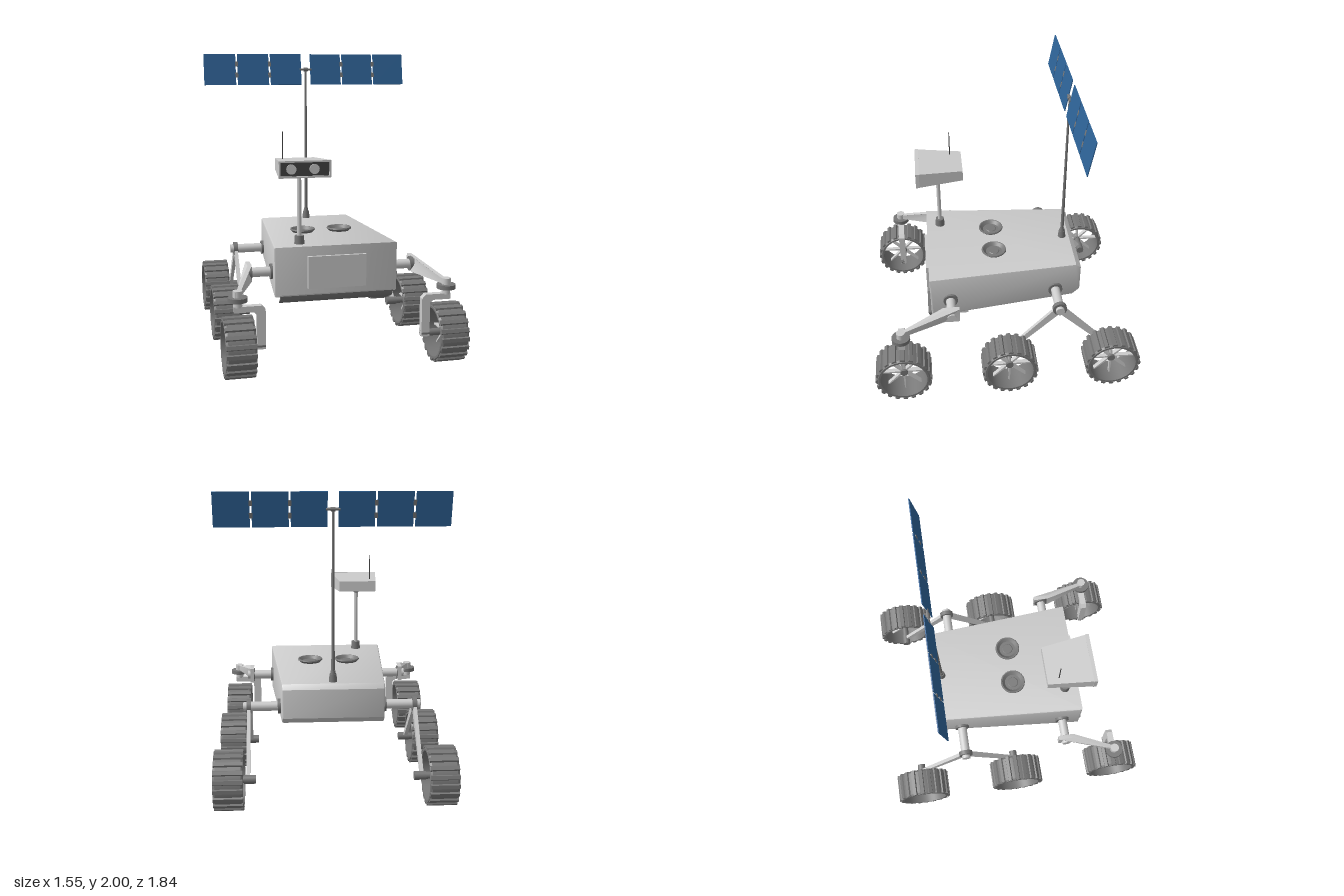
import * as THREE from 'three';
import { toCreasedNormals } from 'three/addons/utils/BufferGeometryUtils.js';

const paint = (color) => new THREE.MeshStandardMaterial({ color });
const GREY = paint(0xcccccc);
const DARK = paint(0x777777);
const BLACK = paint(0x444444);
const BLUE = paint(0x2f6499);

function add(parent, name, geometry, material = GREY, x = 0, y = 0, z = 0) {
  const mesh = new THREE.Mesh(geometry, material);
  mesh.name = name;
  mesh.position.set(x, y, z);
  parent.add(mesh);
  return mesh;
}

const box = (w, h, d) => new THREE.BoxGeometry(w, h, d);
const rod = (r, h, top = r, n = 24) => new THREE.CylinderGeometry(top, r, h, n);
const rodX = (r, length) => rod(r, length).rotateZ(Math.PI / 2);
const shapeOf = (points) => new THREE.Shape(points.map(([a, b]) => new THREE.Vector2(a, b)));

// Plate with a (z, y) outline and its thickness centred on x = 0
function plateX(points, width, bevel = 0) {
  const depth = width - 2 * bevel;
  return new THREE.ExtrudeGeometry(shapeOf(points), {
    depth, bevelEnabled: bevel > 0, bevelSize: bevel, bevelThickness: bevel, bevelOffset: -bevel, bevelSegments: 2,
  }).translate(0, 0, -depth / 2).rotateY(-Math.PI / 2);
}

// Move every vertex by a rule, then rebuild normals with sharp edges
function reshape(geometry, rule) {
  const p = geometry.attributes.position;
  const v = new THREE.Vector3();
  for (let i = 0; i < p.count; i++) {
    v.fromBufferAttribute(p, i);
    rule(v);
    p.setXYZ(i, v.x, v.y, v.z);
  }
  return toCreasedNormals(geometry, 0.5);
}

function makeBody(model) {
  const profile = [[0.51, 0.43], [0.515, 0.76], [-0.515, 0.76], [-0.55, 0.73], [-0.55, 0.535], [-0.5, 0.49]];
  const hull = reshape(plateX(profile, 0.83, 0.012), (v) => {
    v.x *= 1 - 0.19 * (0.515 - v.z) / 1.065;
  });
  add(model, 'body', hull);
  add(model, 'frontHatch', box(0.39, 0.215, 0.04), GREY, 0, 0.5875, 0.515);

  // Curved lip and wedge under the nose
  const lip = [[0.51, 0.44], [0.535, 0.44], [0.525, 0.415], [0.505, 0.395], [0.47, 0.38],
    [0.468, 0.388], [0.498, 0.405], [0.512, 0.42], [0.51, 0.43]];
  add(model, 'noseLip', toCreasedNormals(plateX(lip, 0.76), 0.6), DARK);
  add(model, 'bellyWedge', plateX([[0.47, 0.44], [0.47, 0.4], [0.25, 0.4], [0.31, 0.45]], 0.72));

  // Two shallow dishes on the deck
  const dish = [[0.07, 0], [0.088, 0.018], [0.085, 0.026], [0.078, 0.026], [0.058, 0.006], [0.038, 0.006], [0.034, 0.01], [0, 0.01]];
  for (const x of [-0.132, 0.132]) {
    const lathe = new THREE.LatheGeometry(dish.map(([r, y]) => new THREE.Vector2(r, y)), 32);
    add(model, 'deckDish', toCreasedNormals(lathe, 0.5), DARK, x, 0.758, 0.045);
  }
}

function makeCamera(model) {
  const camera = new THREE.Group();
  camera.name = 'cameraMast';
  camera.position.set(-0.23, 0, 0.415);
  model.add(camera);
  add(camera, 'mastBase', rod(0.034, 0.055, 0.03), DARK, 0, 0.7875);
  add(camera, 'mastPole', rod(0.014, 0.42), GREY, 0, 1.0);
  add(camera, 'mastJoint', new THREE.SphereGeometry(0.03, 24, 12), DARK, 0, 1.222);

  // Head widens and deepens toward the lenses
  const head = reshape(box(1, 1, 0.305), (v) => {
    const front = v.z > 0;
    v.x = v.x * (front ? 0.335 : 0.265) + (front ? 0.01 : 0.005);
    v.y *= front ? 0.108 : 0.075;
  });
  add(camera, 'cameraHead', head, GREY, 0, 1.27, -0.0225);
  const frame = shapeOf([[-0.17, -0.055], [0.17, -0.055], [0.17, 0.055], [-0.17, 0.055]]);
  frame.holes.push(shapeOf([[-0.158, -0.044], [0.158, -0.044], [0.158, 0.044], [-0.158, 0.044]]));
  add(camera, 'cameraFrame', new THREE.ExtrudeGeometry(frame, { depth: 0.025, bevelEnabled: false }), GREY, 0.01, 1.27, 0.129);
  add(camera, 'cameraFace', box(0.318, 0.09, 0.008), BLACK, 0.01, 1.27, 0.134);
  for (const x of [-0.078, 0.072]) {
    add(camera, 'lens', rod(0.032, 0.012).rotateX(Math.PI / 2), GREY, x, 1.27, 0.142);
  }
  add(camera, 'whipAntenna', rod(0.004, 0.19, 0.003, 8), BLACK, -0.091, 1.395, -0.095);
}

function makeSolarArray(model) {
  const array = new THREE.Group();
  array.name = 'solarArray';
  array.position.set(0, 0, -0.465);
  model.add(array);
  add(array, 'poleBase', rod(0.028, 0.05, 0.023), DARK, 0, 0.785);
  add(array, 'poleSocket', rod(0.02, 0.03, 0.015), DARK, 0, 0.82);
  add(array, 'pole', rod(0.012, 1.06, 0.007, 16), DARK, 0, 1.355);

  // Panels lean back on a shared cross bar
  const wings = new THREE.Group();
  wings.name = 'panelWings';
  wings.position.y = 1.887;
  wings.rotation.x = -0.18;
  array.add(wings);
  add(wings, 'crossBar', rodX(0.009, 0.09), DARK);
  add(wings, 'crossBarJoint', rodX(0.014, 0.03), DARK);
  for (const s of [-1, 1]) {
    for (let i = 0; i < 3; i++) {
      add(wings, 'solarPanel', box(0.232, 0.228, 0.006), BLUE, s * (0.151 + i * 0.2445), 0, 0);
    }
    for (const x of [0.2735, 0.518]) {
      for (const y of [-0.04, 0.04]) add(wings, 'panelHinge', box(0.022, 0.035, 0.008), DARK, s * x, y, 0);
    }
  }
}

// Open wheel, axis along x
function makeWheel(model, s, z) {
  const wheel = new THREE.Group();
  wheel.name = 'wheel';
  wheel.position.set(s * 0.68, 0.195, z);
  model.add(wheel);
  const rim = [[0.16, -0.094], [0.174, -0.094], [0.183, -0.08], [0.183, 0.08], [0.174, 0.094], [0.16, 0.094], [0.16, -0.094]];
  const tyre = new THREE.LatheGeometry(rim.map(([r, y]) => new THREE.Vector2(r, y)), 48).rotateZ(Math.PI / 2);
  add(wheel, 'tyre', toCreasedNormals(tyre, 0.4), DARK);
  for (let i = 0; i < 20; i++) {
    const tread = plateX([[-0.018, 0.178], [0.018, 0.178], [0.012, 0.193], [-0.012, 0.193]], 0.186);
    add(wheel, 'tread', tread, DARK).rotation.x = (i * Math.PI) / 10;
  }
  for (let i = 0; i < 8; i++) {
    const spoke = plateX([[-0.008, 0.015], [0.008, 0.015], [0.004, 0.165], [-0.004, 0.165]], 0.03);
    add(wheel, 'spoke', spoke, GREY).rotation.x = (i * Math.PI) / 4;
  }
  add(wheel, 'wheelHub', rodX(0.026, 0.06), DARK);
  add(wheel, 'wheelAxle', rodX(0.023, 0.17), DARK, -s * 0.085);
}

// Axle from the body with flange, collar and end cap
function makeAxle(model, s, wall, y, z) {
  add(model, 'axle', rodX(0.032, 0.55 - wall + 0.06), GREY, s * (wall + 0.49) / 2, y, z);
  add(model, 'axleFlange', rodX(0.05, 0.03), DARK, s * (wall + 0.002), y, z);
  add(model, 'axleCollar', rodX(0.049, 0.03), DARK, s * 0.56, y, z);
  add(model, 'axleCap', rodX(0.03, 0.06), GREY, s * 0.568, y, z);
}

function makeSuspension(model, s) {
  makeAxle(model, s, 0.405, 0.572, 0.375);
  makeAxle(model, s, 0.35, 0.565, -0.37);

  // Front arm bends outward to the steering pivot
  const outline = [[0.32, 0.525], [0.32, 0.632], [0.43, 0.632], [0.7, 0.552], [0.75, 0.548], [0.75, 0.51], [0.7, 0.515], [0.43, 0.525]];
  const arm = reshape(plateX(outline, 0.028), (v) => {
    v.x += s * (0.563 + Math.max(0, v.z - 0.43) * 0.38);
  });
  add(model, 'frontArm', arm);
  add(model, 'steeringCap', rod(0.03, 0.045), GREY, s * 0.68, 0.532, 0.725);
  add(model, 'steeringDisc', rod(0.062, 0.028), DARK, s * 0.68, 0.5, 0.725);
  add(model, 'steeringPin', rod(0.028, 0.04), GREY, s * 0.68, 0.47, 0.725);
  const fork = shapeOf([[0.705, 0.418], [0.705, 0.456], [0.535, 0.456], [0.51, 0.43],
    [0.51, 0.175], [0.565, 0.175], [0.565, 0.4], [0.585, 0.418]].map(([x, y]) => [s * x, y]));
  const forkGeometry = new THREE.ExtrudeGeometry(fork, { depth: 0.044, bevelEnabled: false });
  add(model, 'steeringFork', forkGeometry, GREY, 0, 0, 0.703);

  // Tapered struts to the middle and rear wheels
  for (const end of [-0.01, -0.73]) {
    const d = Math.sign(end + 0.37);
    const a = 0.02, b = 0.01;
    const strut = plateX([[-0.37 + d * a, 0.565 + a], [-0.37 - d * a, 0.565 - a], [end - d * b, 0.195 - b], [end + d * b, 0.195 + b]], 0.024);
    add(model, 'rockerStrut', strut, GREY, s * 0.56, 0, 0);
    add(model, 'strutHub', rodX(0.028, 0.075), DARK, s * 0.548, 0.195, end);
  }
  for (const z of [0.725, -0.01, -0.73]) makeWheel(model, s, z);
}

export function createModel() {
  const model = new THREE.Group();
  model.name = 'rover';
  makeBody(model);
  makeCamera(model);
  makeSolarArray(model);
  for (const s of [-1, 1]) makeSuspension(model, s);
  return model;
}
